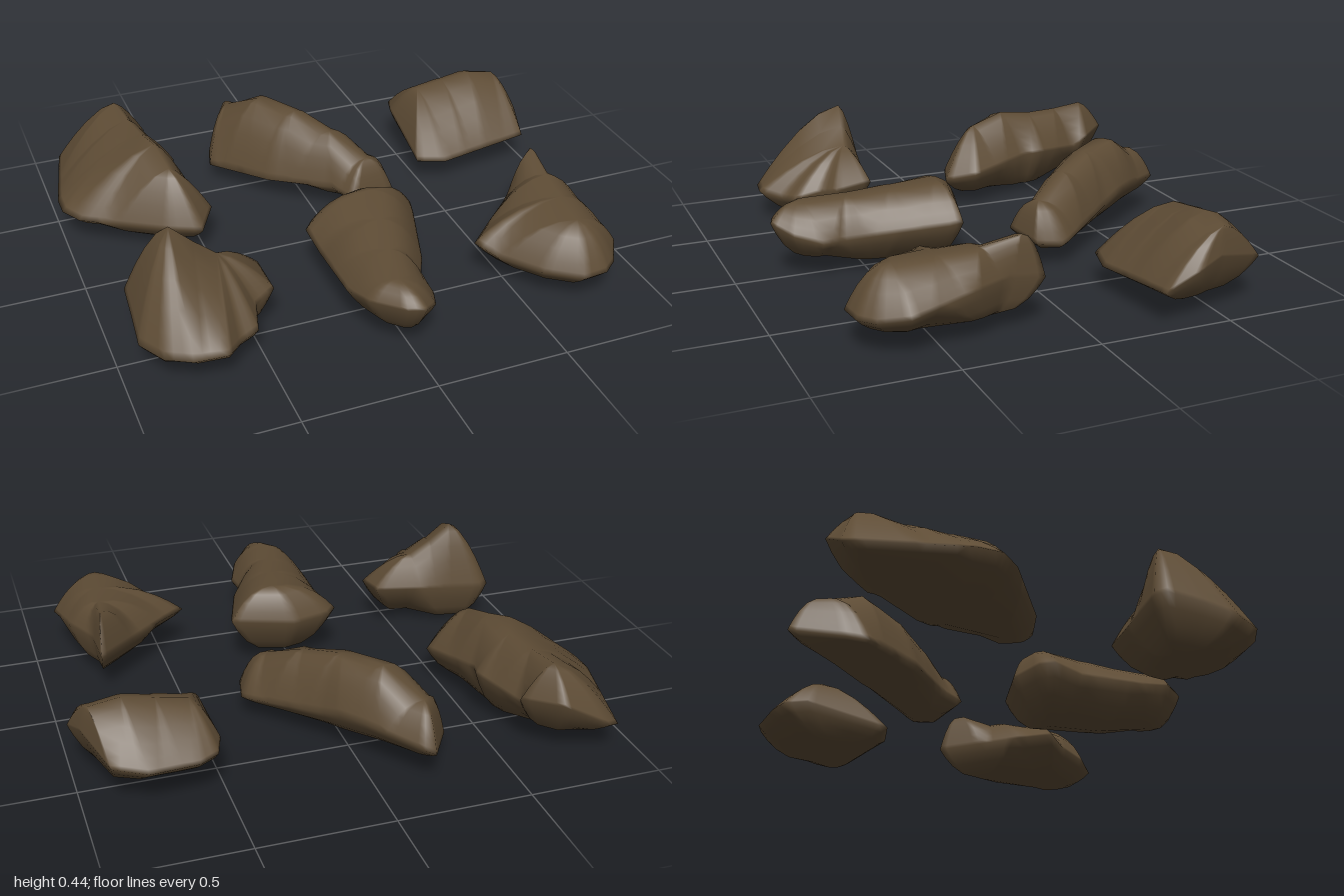
import * as THREE from 'three';
import { mergeVertices } from 'three/addons/utils/BufferGeometryUtils.js';

// Evenly spaced points along a straight spine, one for each height
function spinePoints({ from, to, heights }) {
  return heights.map((y, i) => {
    const t = i / (heights.length - 1);
    return new THREE.Vector3(
      THREE.MathUtils.lerp(from[0], to[0], t), y, THREE.MathUtils.lerp(from[1], to[1], t));
  });
}

// Spine point closest to p as seen from above
function nearest(points, p) {
  const dist = (q) => Math.hypot(q.x - p.x, q.z - p.z);
  return points.reduce((best, q) => (dist(q) < dist(best) ? q : best));
}

// Splits the rim edges so that neighbouring points stay close together
function subdivide(rim, step) {
  const out = [];
  rim.forEach((r, i) => {
    const a = new THREE.Vector3(...r);
    const b = new THREE.Vector3(...rim[(i + 1) % rim.length]);
    const n = Math.ceil(a.distanceTo(b) / step);
    for (let k = 0; k < n; k++) out.push(a.clone().lerp(b, k / n));
  });
  return out;
}

// Rock skin: rings run from the floor spine out to the rim and up to the crest spine;
// a higher bulge gives a flatter top and steeper sides
function rockGeometry({ rim, crest, floor, bulge }) {
  const edge = subdivide(rim, 0.035);
  const top = spinePoints(crest), bottom = spinePoints(floor);
  const rings = [
    ...[0, 0.45, 0.7, 0.88, 1].map((t) => ({ spine: bottom, t, power: 2.6 })),
    ...[0.95, 0.85, 0.7, 0.5, 0.25, 0].map((t) => ({ spine: top, t, power: bulge })),
  ];
  const pos = [], index = [], n = edge.length;
  for (const { spine, t, power } of rings) {
    for (const p of edge) {
      const s = nearest(spine, p);
      const q = s.clone().lerp(p, t);
      pos.push(q.x, s.y + (p.y - s.y) * t ** power, q.z);
    }
  }
  for (let j = 0; j < rings.length - 1; j++) {
    for (let i = 0; i < n; i++) {
      const a = j * n + i, b = j * n + ((i + 1) % n), c = b + n, d = a + n;
      index.push(a, d, c, a, c, b);
    }
  }
  const g = new THREE.BufferGeometry();
  g.setAttribute('position', new THREE.Float32BufferAttribute(pos, 3));
  g.setIndex(index);
  const merged = mergeVertices(g, 1e-4);
  merged.computeVertexNormals();
  return merged;
}

// Rim points are [x, y, z], clockwise seen from above; spine ends are [x, z]
const rocks = {
  backRightRock: {
    bulge: 1.5,
    rim: [[-0.92, 0.11, -0.83], [-0.87, 0.13, -0.86], [-0.68, 0.24, -0.86], [-0.57, 0.22, -0.73],
      [-0.59, 0.18, -0.69], [-0.51, 0.2, -0.48], [-0.53, 0.19, -0.42], [-0.45, 0.15, -0.15],
      [-0.52, 0.12, -0.04], [-0.64, 0.13, -0.08], [-0.95, 0.12, -0.29], [-1, 0.13, -0.36], [-1, 0.13, -0.45]],
    crest: { from: [-0.68, -0.75], to: [-0.6, -0.2], heights: [0.36, 0.35, 0.35, 0.37, 0.33] },
    floor: { from: [-0.74, -0.68], to: [-0.6, -0.2], heights: [0.06, 0.015, 0.04] },
  },
  backMiddleRock: {
    bulge: 2.4,
    rim: [[-0.2, 0.13, -0.85], [-0.16, 0.15, -0.84], [0, 0.18, -0.65], [0.06, 0.18, -0.57],
      [0.11, 0.15, -0.48], [0.31, 0.1, -0.22], [0.32, 0.09, -0.19], [0.3, 0.1, -0.09],
      [0.11, 0.11, -0.06], [0.06, 0.12, -0.16], [-0.15, 0.1, -0.34], [-0.33, 0.08, -0.58], [-0.31, 0.09, -0.66]],
    crest: { from: [-0.2, -0.72], to: [0.2, -0.14], heights: [0.28, 0.36, 0.35, 0.31, 0.24] },
    floor: { from: [-0.17, -0.65], to: [0.18, -0.2], heights: [0.07, 0.06, 0.05] },
  },
  backLeftRock: {
    bulge: 1.6,
    rim: [[0.5, 0.18, -0.58], [0.53, 0.17, -0.67], [0.6, 0.16, -0.7], [0.78, 0.16, -0.71],
      [0.9, 0.18, -0.67], [0.97, 0.23, -0.47], [1, 0.2, -0.37], [0.98, 0.13, -0.25],
      [0.6, 0.1, -0.21], [0.48, 0.11, -0.24]],
    crest: { from: [0.59, -0.5], to: [0.94, -0.49], heights: [0.31, 0.33, 0.35, 0.33] },
    floor: { from: [0.6, -0.42], to: [0.85, -0.45], heights: [0.05, 0.06] },
  },
  frontRightRock: {
    bulge: 1.6,
    rim: [[-0.91, 0.17, 0.29], [-0.87, 0.17, 0.26], [-0.42, 0.19, 0.33], [-0.41, 0.17, 0.48],
      [-0.49, 0.15, 0.52], [-0.52, 0.12, 0.63], [-0.59, 0.11, 0.66], [-0.66, 0.13, 0.74],
      [-0.78, 0.12, 0.72], [-0.87, 0.12, 0.67], [-0.93, 0.12, 0.56], [-0.92, 0.15, 0.43]],
    crest: { from: [-0.75, 0.36], to: [-0.59, 0.39], heights: [0.44, 0.37, 0.31] },
    floor: { from: [-0.78, 0.38], to: [-0.6, 0.5], heights: [0, 0.02] },
  },
  frontMiddleRock: {
    bulge: 2.6,
    rim: [[-0.19, 0.2, 0.21], [-0.15, 0.2, 0.16], [0.01, 0.2, 0.12], [0.25, 0.21, 0.19],
      [0.24, 0.2, 0.24], [0.16, 0.17, 0.5], [0.11, 0.15, 0.6], [0.12, 0.15, 0.69],
      [0.08, 0.18, 0.79], [0.01, 0.22, 0.86], [-0.05, 0.22, 0.84], [-0.15, 0.21, 0.73],
      [-0.18, 0.18, 0.6], [-0.18, 0.17, 0.33]],
    crest: { from: [0.07, 0.23], to: [-0.04, 0.73], heights: [0.33, 0.31, 0.29, 0.28] },
    floor: { from: [0.03, 0.28], to: [-0.01, 0.7], heights: [0.03, 0.035, 0.07] },
  },
  frontLeftRock: {
    bulge: 2.2,
    rim: [[0.39, 0.16, 0.47], [0.5, 0.17, 0.37], [0.79, 0.18, 0.11], [0.8, 0.2, 0.25],
      [0.87, 0.2, 0.4], [0.9, 0.15, 0.63], [0.84, 0.13, 0.73], [0.78, 0.13, 0.78],
      [0.68, 0.13, 0.79], [0.56, 0.13, 0.7], [0.45, 0.13, 0.55]],
    crest: { from: [0.77, 0.19], to: [0.72, 0.64], heights: [0.34, 0.31, 0.3, 0.29] },
    floor: { from: [0.76, 0.3], to: [0.66, 0.58], heights: [0.06, 0.04] },
  },
};

export function createModel() {
  const group = new THREE.Group();
  group.name = 'rocks';
  const stone = new THREE.MeshStandardMaterial({ color: 0x5e4c35 });
  stone.name = 'brown stone';
  for (const [name, spec] of Object.entries(rocks)) {
    const mesh = new THREE.Mesh(rockGeometry(spec), stone);
    mesh.name = name;
    group.add(mesh);
  }
  return group;
}
